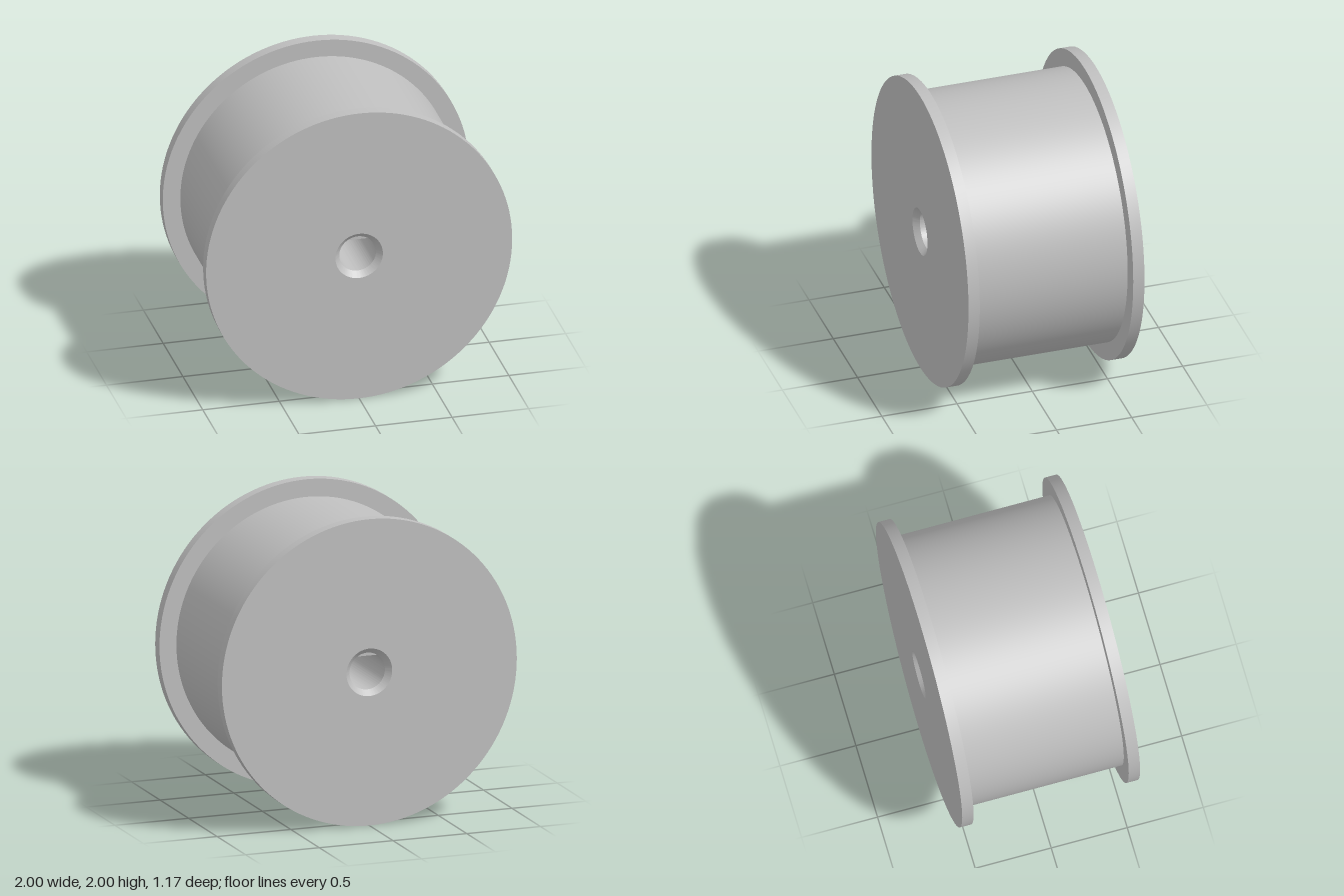
import * as THREE from 'three';
import { toCreasedNormals } from 'three/addons/utils/BufferGeometryUtils.js';

const SEGMENTS = 128;
const HUB_RADIUS = 0.885;
const BORE_RADIUS = 0.12;
const BORE_FLAT = 0.1;       // height of the flat above the axis
const BORE_END = 0.547;      // where the bore meets the countersinks

export function createModel() {
  const model = new THREE.Group();
  model.name = 'spool';
  const grey = new THREE.MeshStandardMaterial({ color: 0xbfbfbf });
  grey.name = 'plain grey';

  const add = (name, geometry) => {
    const mesh = new THREE.Mesh(toCreasedNormals(geometry, 0.4), grey);
    mesh.name = name;
    mesh.position.y = 1;
    model.add(mesh);
  };

  // Hub with a D-shaped bore running through it
  const hub = new THREE.Shape().absarc(0, 0, HUB_RADIUS, 0, Math.PI * 2);
  const flatAngle = Math.asin(BORE_FLAT / BORE_RADIUS);
  const bore = new THREE.Path();
  bore.absarc(0, 0, BORE_RADIUS, Math.PI - flatAngle, Math.PI * 2 + flatAngle);
  bore.closePath();
  hub.holes.push(bore);
  const hubGeometry = new THREE.ExtrudeGeometry(hub, {
    depth: BORE_END * 2, bevelEnabled: false, curveSegments: SEGMENTS,
  });
  hubGeometry.translate(0, 0, -BORE_END);
  add('hub', hubGeometry);

  // Matching flanges, each with a countersunk hole
  const profile = [
    [HUB_RADIUS - 0.01, 0.51], [1, 0.51], [1, 0.585], [0.155, 0.585], [BORE_RADIUS, BORE_END],
  ].map(([r, h]) => new THREE.Vector2(r, h));
  for (const [name, side] of [['frontFlange', 1], ['backFlange', -1]]) {
    const flange = new THREE.LatheGeometry(profile, SEGMENTS);
    flange.rotateX(side * Math.PI / 2);
    add(name, flange);
  }
  return model;
}
